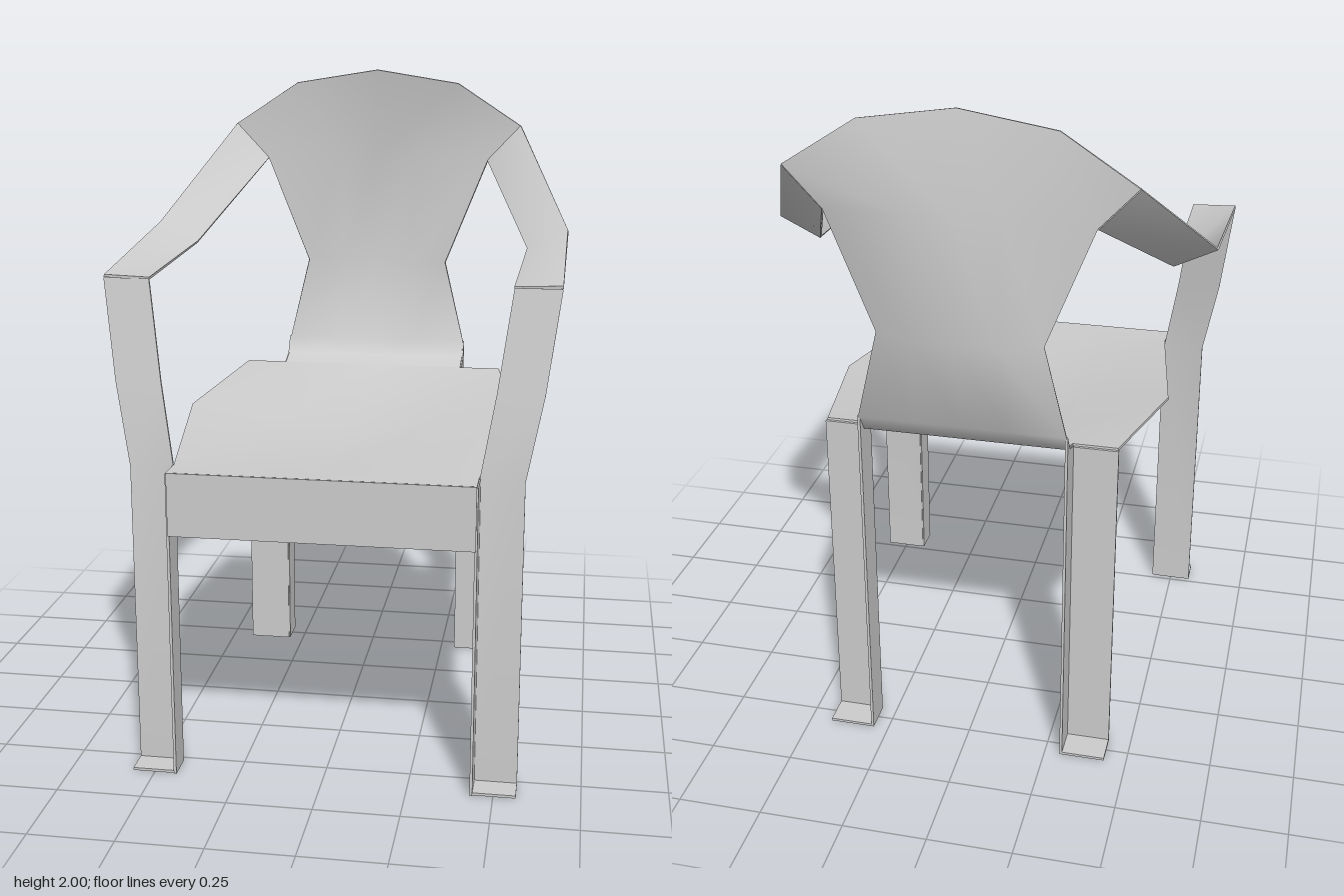
import * as THREE from 'three';
import { toCreasedNormals } from 'three/addons/utils/BufferGeometryUtils.js';

const material = new THREE.MeshStandardMaterial({ color: 0xcccccc, side: THREE.DoubleSide });
const THICKNESS = 0.008;

// Bent sheet: a grid of points thickened along its normals and closed by a rim
function sheet(name, rows, side = 1) {
  if (side < 0) rows = rows.map(r => r.map(([x, y, z]) => [-x, y, z]).reverse());
  const n = rows.length, m = rows[0].length, count = n * m;
  const points = rows.flat(), face = [];
  for (let i = 0; i < n - 1; i++) {
    for (let j = 0; j < m - 1; j++) {
      const a = i * m + j, b = a + 1, c = a + m, d = c + 1;
      face.push(a, b, d, a, d, c);
    }
  }
  const mid = new THREE.BufferGeometry();
  mid.setAttribute('position', new THREE.Float32BufferAttribute(points.flat(), 3));
  mid.setIndex(face);
  mid.computeVertexNormals();
  const normals = mid.attributes.normal.array;
  const layer = k => points.flat().map((v, i) => v + k * normals[i] * THICKNESS / 2);

  const index = [...face];
  for (let i = 0; i < face.length; i += 3) {
    index.push(face[i] + count, face[i + 2] + count, face[i + 1] + count);
  }
  // Rim, walked around the border of the grid
  const border = [];
  for (let j = 0; j < m - 1; j++) border.push(j);
  for (let i = 0; i < n - 1; i++) border.push(i * m + m - 1);
  for (let j = m - 1; j > 0; j--) border.push((n - 1) * m + j);
  for (let i = n - 1; i > 0; i--) border.push(i * m);
  border.forEach((a, k) => {
    const b = border[(k + 1) % border.length];
    index.push(a, a + count, b + count, a, b + count, b);
  });
  const geo = new THREE.BufferGeometry();
  geo.setAttribute('position', new THREE.Float32BufferAttribute([...layer(1), ...layer(-1)], 3));
  geo.setIndex(index);
  const mesh = new THREE.Mesh(toCreasedNormals(geo, 1.0), material);
  mesh.name = name;
  return mesh;
}

// Completes a row given from the centre line outwards
const mirrorRow = half => [...half.slice(1).reverse().map(([x, y, z]) => [-x, y, z]), ...half];

export function createModel() {
  const chair = new THREE.Group();
  chair.name = 'chair';

  // Scooped seat: [z, half width, centre height, edge height]
  const seatRows = [
    [0.605, 0.437, 0.925, 0.925],
    [0.52, 0.437, 0.925, 0.925],
    [0.0, 0.515, 0.897, 0.971],
    [-0.45, 0.43, 1.016, 1.016],
  ].map(([z, w, yc, ye]) => [-1, -0.5, 0, 0.5, 1].map(
    t => [t * w, yc + (ye - yc) * Math.abs(t), z]));
  chair.add(sheet('seat', seatRows));

  // Front rail folded down from the seat
  const rail = new THREE.Mesh(new THREE.BoxGeometry(0.874, 0.187, THICKNESS), material);
  rail.name = 'frontRail';
  rail.position.set(0, 0.835, 0.605);
  chair.add(rail);

  // Backrest curving up from the seat, hollowed in the middle
  const backRows = [
    [[0, 1.016, -0.45], [0.13, 1.016, -0.45], [0.3, 1.016, -0.45]],
    [[0, 1.037, -0.515], [0.13, 1.037, -0.515], [0.3, 1.037, -0.515]],
    [[0, 1.09, -0.55], [0.13, 1.09, -0.55], [0.3, 1.09, -0.55]],
    [[0, 1.36, -0.606], [0.12, 1.36, -0.606], [0.235, 1.36, -0.555]],
    [[0, 1.72, -0.606], [0.13, 1.72, -0.606], [0.372, 1.705, -0.555]],
    [[0, 2.0, -0.555], [0.27, 1.957, -0.555], [0.48, 1.82, -0.555]],
  ].map(mirrorRow);
  chair.add(sheet('backrest', backRows));

  for (const s of [1, -1]) {
    const label = s > 0 ? 'left' : 'right';
    const add = (name, rows) => chair.add(sheet(label + name, rows, s));

    // Front leg panel rising into the arm support
    add('FrontLegAndArmSupport', [
      [[0.437, 0, 0.52], [0.565, 0, 0.52]],
      [[0.437, 0.92, 0.52], [0.565, 0.92, 0.52]],
      [[0.478, 1.16, 0.48], [0.612, 1.16, 0.48]],
      [[0.517, 1.45, 0.435], [0.65, 1.45, 0.435]],
    ]);
    add('FrontLegSide', [
      [[0.437, 0, 0.605], [0.437, 0, 0.52]],
      [[0.437, 0.925, 0.605], [0.437, 0.925, 0.52]],
    ]);
    add('FrontFoot', [
      [[0.437, 0.004, 0.6], [0.565, 0.004, 0.6]],
      [[0.437, 0.004, 0.52], [0.565, 0.004, 0.52]],
    ]);

    // Armrest twisting back to the backrest
    add('Armrest', [
      [[0.517, 1.45, 0.435], [0.65, 1.455, 0.435]],
      [[0.527, 1.47, -0.16], [0.65, 1.53, -0.16]],
      [[0.372, 1.705, -0.555], [0.48, 1.82, -0.555]],
    ]);

    // Rear leg: front panel, inner side following the seat bend, and foot
    add('RearLeg', [
      [[0.3, 0, -0.455], [0.433, 0, -0.455]],
      [[0.3, 1.014, -0.455], [0.433, 1.014, -0.455]],
    ]);
    add('RearLegSide', [
      [[0.3, 0, -0.455], [0.3, 0, -0.515], [0.3, 0, -0.55]],
      [[0.3, 1.016, -0.455], [0.3, 1.037, -0.515], [0.3, 1.09, -0.55]],
    ]);
    add('RearFoot', [
      [[0.3, 0.004, -0.455], [0.433, 0.004, -0.455]],
      [[0.3, 0.004, -0.55], [0.433, 0.004, -0.55]],
    ]);
  }
  return chair;
}
